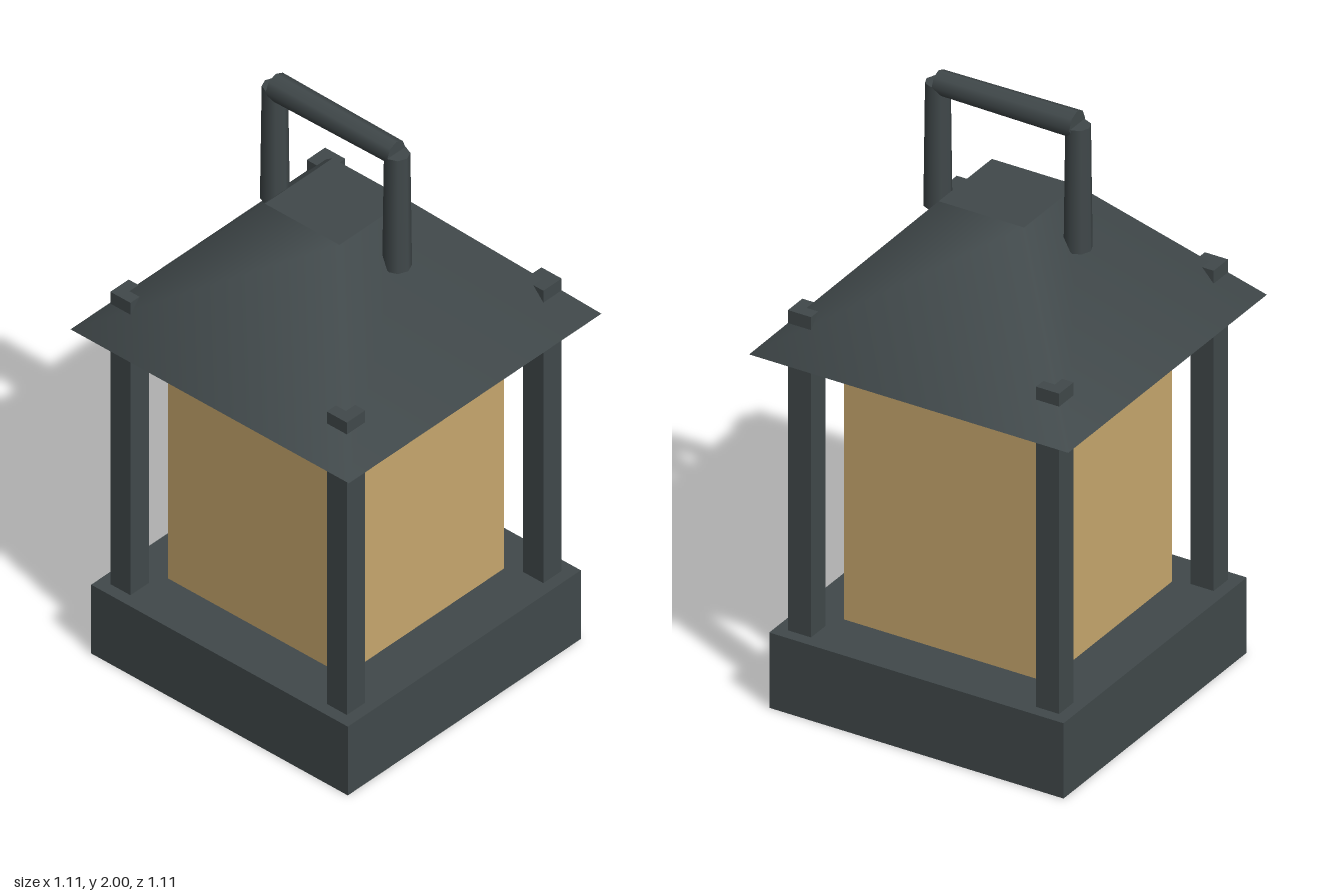
import * as THREE from 'three';

export function createModel() {
  const lantern = new THREE.Group();
  lantern.name = 'lantern';

  const metal = new THREE.MeshStandardMaterial({ color: 0x41494b });
  const glass = new THREE.MeshStandardMaterial({ color: 0xc8a86e });

  const add = (name, geometry, material, x, y, z) => {
    const mesh = new THREE.Mesh(geometry, material);
    mesh.name = name;
    mesh.position.set(x, y, z);
    lantern.add(mesh);
    return mesh;
  };

  // Box given by its width, depth and bottom and top heights
  const addBox = (name, size, bottom, top, material, x = 0, z = 0) =>
    add(name, new THREE.BoxGeometry(size, top - bottom, size), material, x, (bottom + top) / 2, z);

  // Base plinth and the glowing pane block floating just above it
  addBox('base', 1.02, 0, 0.255, metal);
  addBox('glassPanes', 0.7, 0.27, 1.21, glass);

  // Corner posts, poking out through the roof
  for (const x of [-1, 1]) {
    for (const z of [-1, 1]) {
      addBox('cornerPost', 0.08, 0.25, 1.34, metal, x * 0.43, z * 0.43);
    }
  }

  // Four-sided roof with a flat top and softly shaded slopes
  const roofGeometry = new THREE.CylinderGeometry(0.148 * Math.SQRT2, 0.553 * Math.SQRT2, 0.445, 4);
  roofGeometry.rotateY(Math.PI / 4);
  add('roof', roofGeometry, metal, 0, 1.4275, 0);

  // Handle: two slightly tapered legs and a crossbar
  for (const side of [-1, 1]) {
    add('handleLeg', new THREE.CylinderGeometry(0.039, 0.044, 0.415, 8), metal, side * 0.243, 1.7475, 0);
  }
  const bar = add('handleBar', new THREE.CylinderGeometry(0.039, 0.044, 0.48, 8), metal, 0, 1.956, 0);
  bar.rotation.z = -Math.PI / 2;

  return lantern;
}
